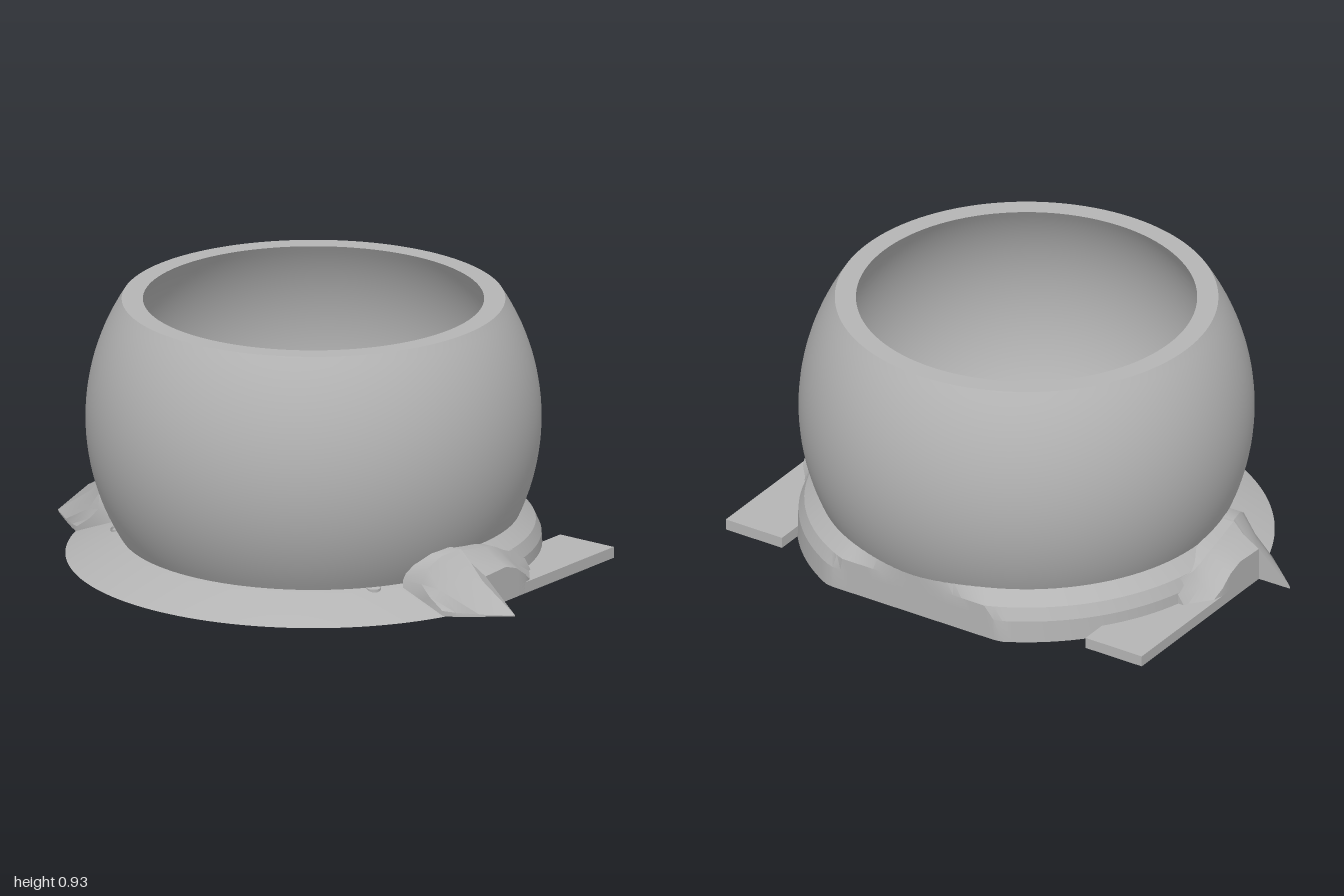
import * as THREE from 'three';
import { toCreasedNormals } from 'three/addons/utils/BufferGeometryUtils.js';

const CZ = -0.035; // z of the bowl axis
const BACK = -0.715; // flat back of the foot, measured from the axis
const gray = new THREE.MeshStandardMaterial({ color: 0xb4b4b4, side: THREE.DoubleSide });
gray.name = 'plain gray';

const rad = THREE.MathUtils.degToRad;

function add(parent, name, geometry, crease = 0.5) {
  const mesh = new THREE.Mesh(crease ? toCreasedNormals(geometry, crease) : geometry, gray);
  mesh.name = name;
  parent.add(mesh);
  return mesh;
}

function lathe(points, segments, start = 0, sweep = 360) {
  const profile = points.map(([r, y]) => new THREE.Vector2(r, y));
  return new THREE.LatheGeometry(profile, segments, rad(start), rad(sweep));
}

// Hollow sphere band, open at the top and bottom
function bowlGeometry() {
  const points = [];
  const steps = 28;
  const arc = (R, y) => [Math.sqrt(R * R - (y - 0.5) ** 2), y];
  for (let i = 0; i <= steps; i++) points.push(arc(0.795, 0.07 + (0.86 * i) / steps));
  for (let i = 0; i <= steps; i++) points.push(arc(0.734, 0.93 - (0.865 * i) / steps));
  points.push([0.59, 0.06], [0.59, 0]);
  return lathe(points, 112);
}

// Underside with the large opening and three screw holes
const holes = [[0.56, 0.39], [-0.56, 0.39], [0, -0.665]];
function undersideGeometry() {
  const shape = new THREE.Shape();
  for (let i = 0; i < 144; i++) {
    const a = rad(i * 2.5);
    const r = Math.cos(a) > 0.22 ? 0.865 : 0.8;
    const x = r * Math.sin(a);
    const z = Math.max(r * Math.cos(a), BACK);
    if (i) shape.lineTo(x, z);
    else shape.moveTo(x, z);
  }
  const cut = (x, z, r) => shape.holes.push(new THREE.Path().absarc(x, z, r, 0, Math.PI * 2, true));
  cut(0, 0, 0.59);
  for (const [x, z] of holes) cut(x, z, 0.025);
  return new THREE.ShapeGeometry(shape, 48).rotateX(Math.PI / 2);
}

// Side shoulder running forward into a pointed wing: [z, outer x, edge height, top height]
function shoulderGeometry(side) {
  const sections = [
    [0.275, 0.8, 0.02, 0.1],
    [0.25, 0.84, 0.015, 0.155],
    [0.2, 0.905, 0.008, 0.19],
    [0.135, 0.985, 0.004, 0.2],
    [0.12, 1.0, 0.004, 0.2],
    [0.118, 0.87, 0.12, 0.195],
    [0.0, 0.87, 0.125, 0.18],
    [-0.06, 0.87, 0.105, 0.165],
    [-0.11, 0.87, 0.07, 0.14],
    [-0.15, 0.86, 0.04, 0.125],
    [-0.24, 0.8, 0.03, 0.12],
  ];
  const n = 6;
  const positions = [];
  const index = [];
  const face = (a, b, c) => index.push(...(side > 0 ? [a, b, c] : [a, c, b]));
  for (const [z, xo, lo, h] of sections) {
    const inner = Math.sqrt(0.49 - (z - CZ) ** 2);
    const top = Math.min(0.79, inner + 0.08);
    const ring = [
      [inner, 0], [xo, 0], [xo, lo],
      [top + (xo - top) * 0.4, lo + (h - lo) * 0.5],
      [top, h], [inner, h],
    ];
    for (const [x, y] of ring) positions.push(side * x, y, z);
  }
  const last = (sections.length - 1) * n;
  for (let i = 1; i < n - 1; i++) {
    face(0, i, i + 1);
    face(last, last + i + 1, last + i);
  }
  for (let k = 0; k < last; k += n) {
    for (let i = 0; i < n; i++) {
      const j = (i + 1) % n;
      face(k + i, k + n + i, k + j);
      face(k + j, k + n + i, k + n + j);
    }
  }
  const geometry = new THREE.BufferGeometry();
  geometry.setAttribute('position', new THREE.Float32BufferAttribute(positions, 3));
  geometry.setIndex(index);
  geometry.computeVertexNormals();
  return geometry;
}

export function createModel() {
  const model = new THREE.Group();
  model.name = 'bowlOnFoot';

  const round = new THREE.Group();
  round.name = 'roundParts';
  round.position.z = CZ;
  model.add(round);

  add(round, 'bowl', bowlGeometry());
  add(round, 'underside', undersideGeometry(), 0);

  // Sloping front skirt
  add(round, 'frontSkirt', lathe([[0.865, 0], [0.7, 0.072], [0.66, 0.082]], 64, -77, 154), 0.3);

  // Back collar, sliced flat behind
  const collar = lathe([[0.8, 0], [0.795, 0.08], [0.775, 0.125], [0.715, 0.175]], 84, 75, 210);
  const p = collar.attributes.position;
  for (let i = 0; i < p.count; i++) p.setZ(i, Math.max(p.getZ(i), BACK));
  collar.computeVertexNormals();
  add(round, 'backCollar', collar, 0.35);

  // Walls of the screw holes
  for (const [x, z] of holes) {
    const wall = new THREE.CylinderGeometry(0.025, 0.025, 0.08, 20, 1, true);
    add(round, 'screwHole', wall, 0).position.set(x, 0.04, z);
  }

  // Mirrored shoulders and flat rear tabs
  for (const side of [1, -1]) {
    const prefix = side > 0 ? 'left' : 'right';
    add(model, prefix + 'Shoulder', shoulderGeometry(side), 0.6);
    const tab = add(model, prefix + 'Tab', new THREE.BoxGeometry(0.235, 0.04, 0.52), 0);
    tab.position.set(side * 0.7525, 0.02, -0.36);
    const bar = add(model, prefix + 'TabRoot', new THREE.BoxGeometry(0.14, 0.04, 0.22), 0);
    bar.position.set(side * 0.8, 0.02, 0.0);
  }
  return model;
}
